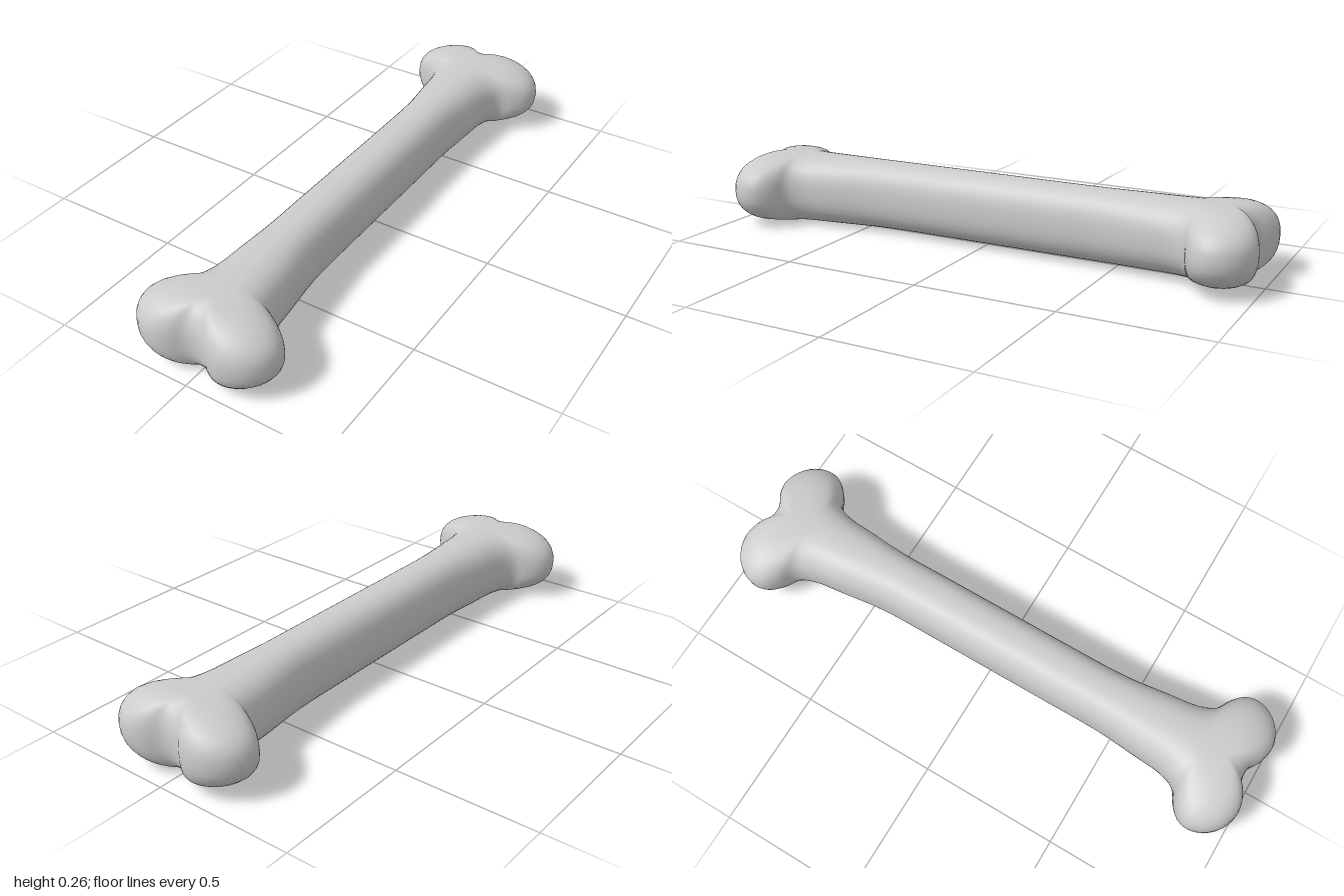
import * as THREE from 'three';
import { mergeVertices } from 'three/addons/utils/BufferGeometryUtils.js';

// Quarter of the plan outline [x, z], from mid shaft to the notch between the knobs
const QUARTER = [
  [0.1, 0], [0.1, 0.25], [0.102, 0.45], [0.118, 0.6], [0.132, 0.715],
  [0.158, 0.77], [0.205, 0.797], [0.245, 0.835], [0.257, 0.88], [0.24, 0.935],
  [0.195, 0.98], [0.135, 1.0], [0.08, 0.99], [0.035, 0.963], [0, 0.957],
];
const ROWS = 20;        // steps from top ridge to bottom ridge
const KNOB_Z = 0.86;    // the spine stops here and the knobs fan out from it
const POWER = 2.4;      // roundness of the cross-section

// Mirror the quarter into a closed outline
function outlinePoints() {
  const half = [...QUARTER, ...QUARTER.slice(0, -1).reverse().map(([x, z]) => [-x, z])];
  const back = half.slice(1, -1).reverse().map(([x, z]) => [x, -z]);
  const loop = [...half, ...back].map(([x, z]) => new THREE.Vector3(x, 0, z));
  const curve = new THREE.CatmullRomCurve3(loop, true, 'centripetal');
  return curve.getPoints(loop.length * 3).slice(0, -1);
}

function boneGeometry() {
  const outline = outlinePoints();
  const positions = [], index = [];
  const stride = ROWS + 1;
  const soft = (v) => Math.sign(v) * Math.pow(Math.abs(v), 2 / POWER);

  outline.forEach((p, i) => {
    const spineZ = THREE.MathUtils.clamp(p.z, -KNOB_Z, KNOB_Z);
    for (let j = 0; j <= ROWS; j++) {
      const a = Math.PI * (0.5 - j / ROWS);
      const out = j === 0 || j === ROWS ? 0 : soft(Math.cos(a));
      const z = spineZ + (p.z - spineZ) * out;
      // The ends lean slightly to opposite sides; the front end is a touch deeper
      const shift = 0.01 * Math.sign(z) * THREE.MathUtils.smoothstep(Math.abs(z), 0.3, 0.85);
      const bottom = 0.01 * (1 - THREE.MathUtils.smoothstep(z, 0.3, 0.8));
      const h = (0.26 - bottom) / 2;
      positions.push(p.x * out + shift, bottom + h + h * soft(Math.sin(a)), z);
      if (j < ROWS) {
        const n = (i + 1) % outline.length;
        const q = i * stride + j, r = n * stride + j;
        index.push(q, r, q + 1, r, r + 1, q + 1);
      }
    }
  });

  const geo = new THREE.BufferGeometry();
  geo.setAttribute('position', new THREE.Float32BufferAttribute(positions, 3));
  geo.setIndex(index);
  // Weld the two halves along the ridges so the shading stays smooth
  const welded = mergeVertices(geo, 1e-4);
  welded.computeVertexNormals();
  return welded;
}

export function createModel() {
  const group = new THREE.Group();
  group.name = 'bone';
  const mesh = new THREE.Mesh(boneGeometry(), new THREE.MeshStandardMaterial({ color: 0xcccccc }));
  mesh.name = 'boneBody';
  group.add(mesh);
  return group;
}
